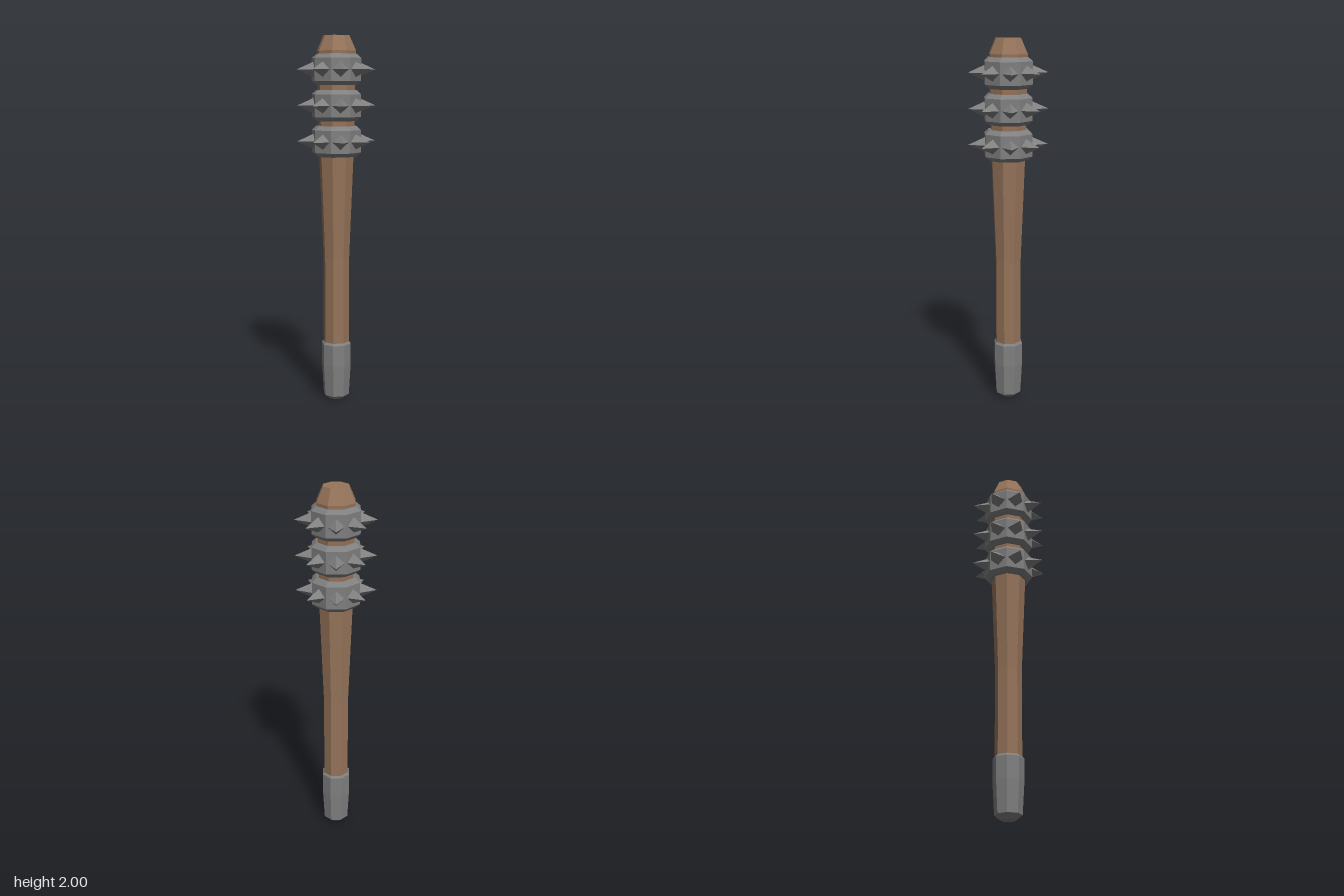
import * as THREE from 'three';

const SIDES = 8;
const wood = new THREE.MeshStandardMaterial({ color: 0x96745a });
wood.name = 'wood';
const metal = new THREE.MeshStandardMaterial({ color: 0x808080 });
metal.name = 'metal';

// Split the faces so every facet is flat
function faceted(geometry) {
  const flat = geometry.toNonIndexed();
  flat.computeVertexNormals();
  return flat;
}

// Octagonal turned part from [radius, height] pairs, bottom to top
function turned(name, profile, material) {
  const points = profile.map(([r, y]) => new THREE.Vector2(r, y));
  const mesh = new THREE.Mesh(faceted(new THREE.LatheGeometry(points, SIDES)), material);
  mesh.name = name;
  return mesh;
}

// Four-sided spike pointing along +z, base starting at the band face
function spikeGeometry() {
  const g = new THREE.ConeGeometry(1, 0.094, 4);
  g.scale(0.046, 1, 0.042);
  g.rotateX(Math.PI / 2);
  g.translate(0, 0, 0.167);
  return faceted(g);
}

export function createModel() {
  const club = new THREE.Group();
  club.name = 'spikedClub';

  // Tapered wooden shaft with chamfered crown
  club.add(turned('shaft', [
    [0, 0.1], [0.072, 0.1], [0.072, 0.8], [0.095, 1.37],
    [0.107, 1.92], [0.071, 2], [0, 2],
  ], wood));

  // Metal cap on the handle end
  club.add(turned('handleCap', [
    [0, 0], [0.04, 0], [0.072, 0.025], [0.082, 0.2],
    [0.082, 0.318], [0.072, 0.33], [0, 0.33],
  ], metal));

  // Three bevelled bands, each with a spike on every side
  const spike = spikeGeometry();
  for (const y of [1.442, 1.632, 1.822]) {
    const band = new THREE.Group();
    band.name = 'spikedBand';
    band.position.y = y;
    band.add(turned('band', [
      [0.09, -0.082], [0.11, -0.082], [0.135, -0.06],
      [0.135, 0.06], [0.11, 0.082], [0.09, 0.082],
    ], metal));
    for (let i = 0; i < SIDES; i++) {
      const mesh = new THREE.Mesh(spike, metal);
      mesh.name = 'spike';
      mesh.rotation.y = ((i + 0.5) / SIDES) * Math.PI * 2;
      band.add(mesh);
    }
    club.add(band);
  }
  return club;
}
